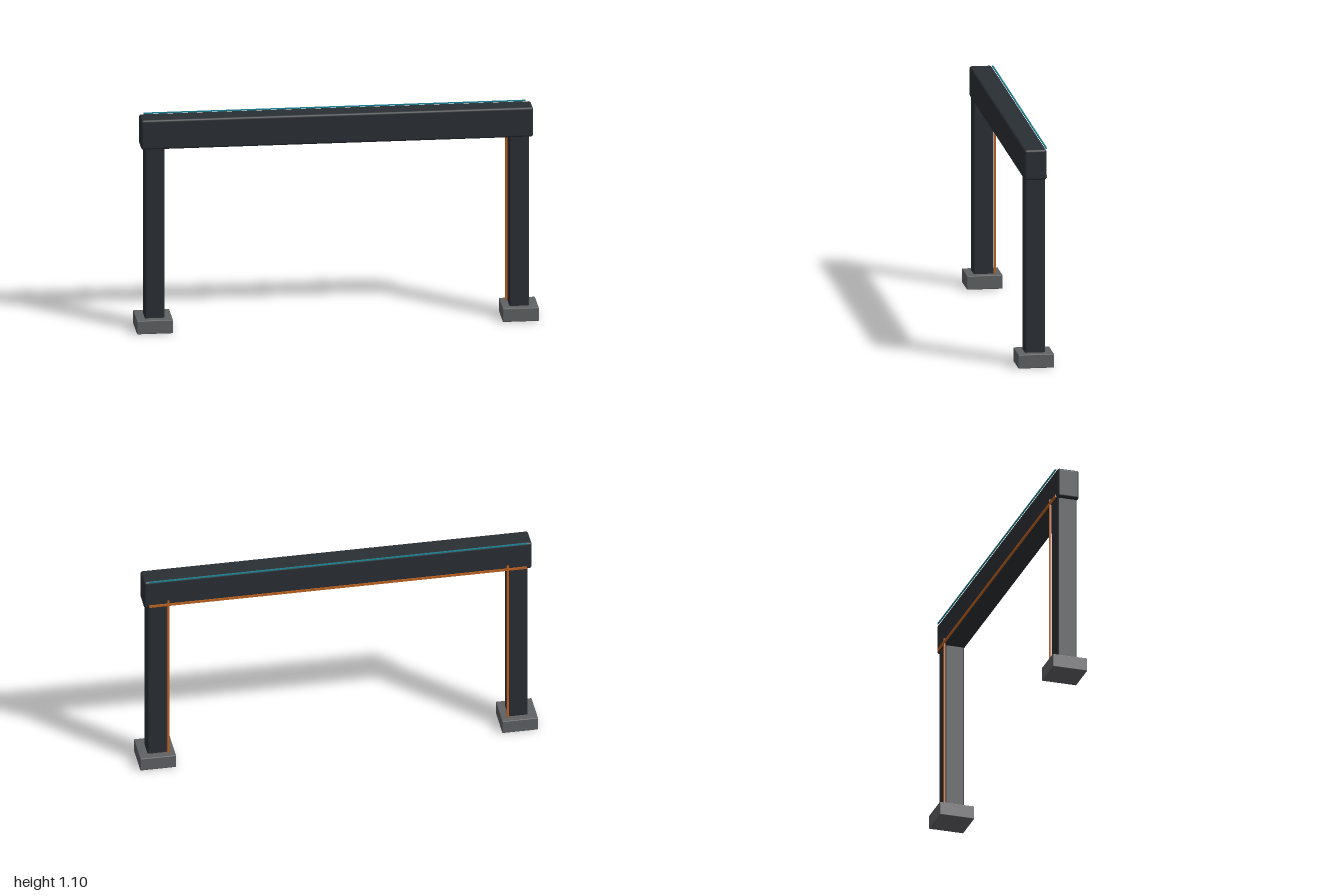
import * as THREE from 'three';
import { RoundedBoxGeometry } from 'three/addons/geometries/RoundedBoxGeometry.js';

const material = (color) => new THREE.MeshStandardMaterial({ color });

export function createModel() {
  const model = new THREE.Group();
  model.name = 'gateway';
  const dark = material(0x2a2f34);
  const stone = material(0x606164);
  const orange = material(0xc0631f);
  const teal = material(0x1a8496);

  const add = (name, geometry, mat, x, y, z) => {
    const mesh = new THREE.Mesh(geometry, mat);
    mesh.name = name;
    mesh.position.set(x, y, z);
    model.add(mesh);
  };
  const rounded = (w, h, d, r) => new RoundedBoxGeometry(w, h, d, 3, r);

  // Crossbeam with softened edges
  add('crossbeam', rounded(1.95, 0.154, 0.112, 0.012), dark, 0, 1.023, 0);

  // Feet, posts and the thin strip at each post's inner back corner
  for (const [side, s] of [['left', 1], ['right', -1]]) {
    add(`${side}Foot`, rounded(0.18, 0.07, 0.18, 0.004), stone, s * 0.91, 0.035, 0);
    add(`${side}Post`, rounded(0.098, 0.96, 0.1, 0.008), dark, s * 0.907, 0.5, 0);
    add(`${side}PostStrip`, new THREE.BoxGeometry(0.01, 0.94, 0.01), orange, s * 0.853, 0.51, -0.055);
  }

  // Thin strips along the back of the beam
  add('lowerBeamStrip', new THREE.BoxGeometry(1.9, 0.012, 0.01), orange, 0, 0.957, -0.056);
  add('upperBeamStrip', new THREE.BoxGeometry(1.9, 0.006, 0.006), teal, 0, 1.101, -0.058);

  return model;
}
